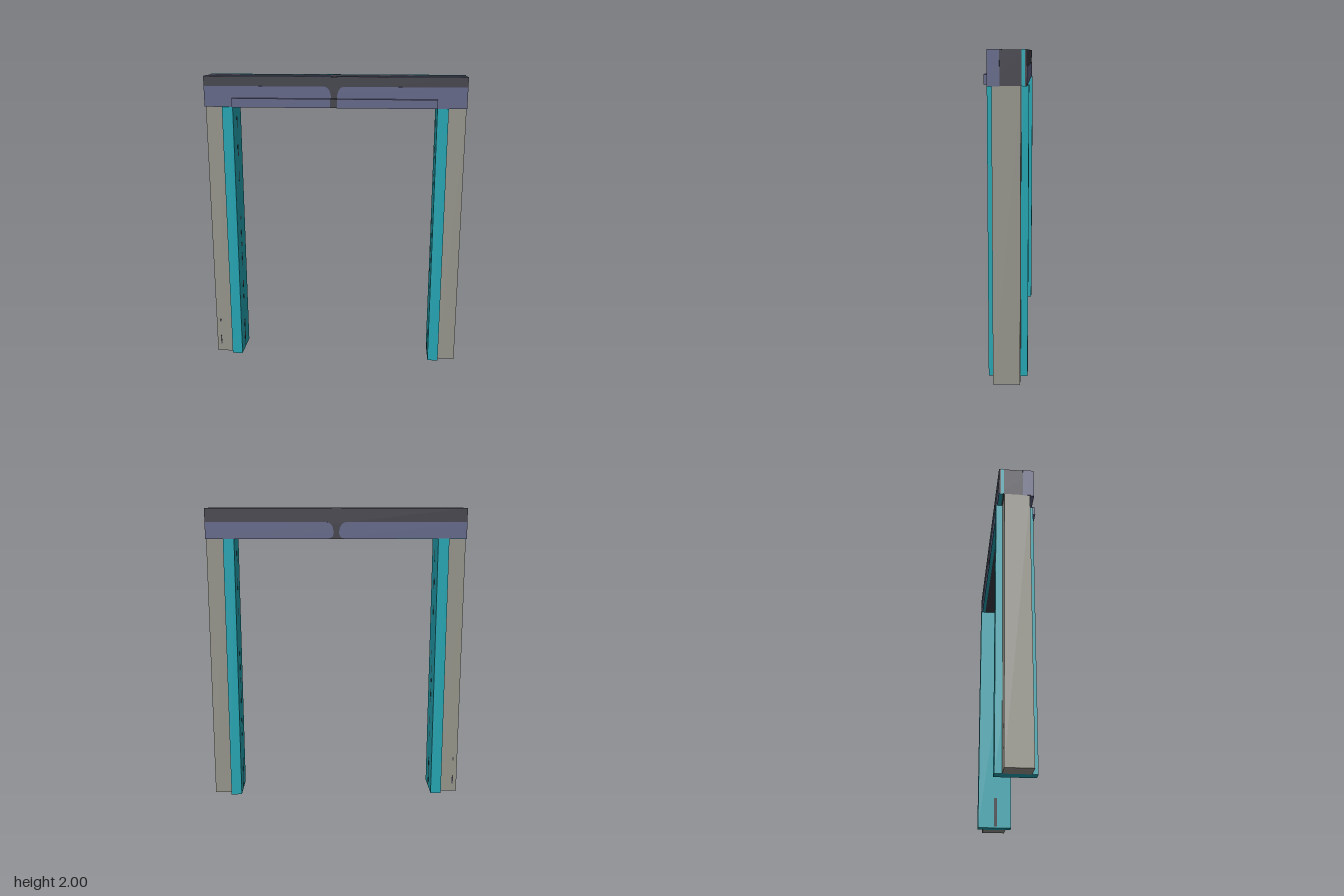
import * as THREE from 'three';

const material = (name, color) => {
  const m = new THREE.MeshStandardMaterial({ color });
  m.name = name;
  return m;
};

export function createModel() {
  const root = new THREE.Group();
  root.name = 'doorFrame';
  const slate = material('slate', 0x5f6384);
  const dark = material('charcoal', 0x3d3c46);
  const teal = material('teal', 0x22a3b0);
  const stone = material('warmGrey', 0x949389);
  const T = 0.002; // thickness of painted plates

  // Box given by its minimum and maximum corners
  const box = (name, mat, [x0, y0, z0], [x1, y1, z1], parent = root) => {
    const mesh = new THREE.Mesh(new THREE.BoxGeometry(x1 - x0, y1 - y0, z1 - z0), mat);
    mesh.position.set((x0 + x1) / 2, (y0 + y1) / 2, (z0 + z1) / 2);
    mesh.name = name;
    parent.add(mesh);
    return mesh;
  };

  // Pair of panels separated by an hourglass gap; gap rows are [height fraction, half width]
  const splitPanel = (name, height, gap, position, rotation) => {
    const group = new THREE.Group();
    group.name = name;
    for (const s of [-1, 1]) {
      const shape = new THREE.Shape();
      shape.moveTo(s * 0.865, 0);
      for (const [f, w] of gap) shape.lineTo(s * w, f * height);
      shape.lineTo(s * 0.865, height);
      const geo = new THREE.ExtrudeGeometry(shape, { depth: T, bevelEnabled: false });
      const mesh = new THREE.Mesh(geo, slate);
      mesh.name = name + (s > 0 ? 'Left' : 'Right');
      group.add(mesh);
    }
    group.position.set(...position);
    group.rotation.set(...rotation);
    root.add(group);
  };

  // Lintel core
  box('lintel', dark, [-0.865, 1.8, -0.123], [0.865, 1.998, 0.1]);

  // Slate cladding on the four long faces
  const hourglass = [[0, 0.06], [0.06, 0.035], [0.15, 0.024], [0.35, 0.017], [0.55, 0.02],
    [0.75, 0.027], [0.88, 0.035], [0.96, 0.048], [1, 0.062]];
  const topGap = [[0, 0.024], [0.25, 0.022], [0.5, 0.013], [0.8, 0.016], [0.92, 0.024], [1, 0.032]];
  splitPanel('frontPanel', 0.135, hourglass, [0, 1.8, 0.1], [0, 0, 0]);
  splitPanel('backPanel', 0.108, hourglass, [0, 1.8, -0.123], [0, Math.PI, 0]);
  splitPanel('topPanel', 0.08, topGap, [0, 1.998, 0.1], [-Math.PI / 2, 0, 0]);
  splitPanel('bottomPanel', 0.07, topGap, [0, 1.8, 0.03], [Math.PI / 2, 0, 0]);

  // Teal stripes on the top and the underside
  box('topRearStripe', teal, [-0.865, 1.998, -0.125], [0.865, 2, -0.113]);
  box('topInnerStripe', teal, [-0.865, 1.998, -0.104], [0.865, 2, -0.098]);
  box('undersideStripe', teal, [-0.865, 1.798, -0.123], [0.865, 1.8, -0.1]);
  box('stripeBreak', dark, [-0.03, 1.9985, -0.122], [0.03, 2.0008, -0.1]);

  // Lintel ends
  for (const s of [-1, 1]) {
    const x0 = s > 0 ? 0.865 : -0.865 - T, x1 = x0 + T;
    box('endSlatePanel', slate, [x0, 1.8, 0.03], [x1, 2, 0.1]);
    box('endTealStripe', teal, [x0, 1.8, -0.113], [x1, 2, -0.092]);
  }

  // Front ledge with a dark joint in the middle
  for (const s of [-1, 1]) {
    const a = s * 0.024, b = s * 0.675;
    box('ledge', slate, [Math.min(a, b), 1.8, 0.1], [Math.max(a, b), 1.858, 0.135]);
  }
  box('ledgeJoint', dark, [-0.024, 1.8, 0.1], [0.024, 1.858, 0.135]);

  // Posts, jamb liners and worn marks on the inner faces: [bottom, top]
  const marks = [[0.01, 0.22], [0.38, 0.42], [0.48, 0.53], [0.64, 0.74], [0.79, 0.82],
    [0.86, 0.92], [0.99, 1.02], [1.27, 1.34], [1.45, 1.53], [1.64, 1.72]];
  for (const s of [-1, 1]) {
    const post = new THREE.Group();
    post.name = s > 0 ? 'leftPost' : 'rightPost';
    root.add(post);
    const span = (a, b) => (s > 0 ? [a, b] : [-b, -a]);
    const [p0, p1] = span(0.748, 0.865);
    box('outerPost', stone, [p0, 0, -0.09], [p1, 1.8, 0.075], post);
    const [j0, j1] = span(0.675, 0.748);
    box('jambLiner', teal, [j0, 0, -0.133], [j1, 1.799, 0.11], post);
    const [m0, m1] = span(0.674, 0.675);
    marks.forEach(([y0, y1], i) => {
      const w = i % 2 ? 0.007 : 0.011;
      box('wornMark', dark, [m0, y0, -0.005 - w], [m1, y1, -0.005 + w], post);
    });
  }

  // Small slots low on the right post, front and back
  for (const z of [0.075, -0.091]) {
    for (const [y0, y1] of [[0.055, 0.12], [0.23, 0.255]]) {
      box('slot', dark, [-0.84, y0, z], [-0.832, y1, z + 0.001]);
    }
  }
  return root;
}
